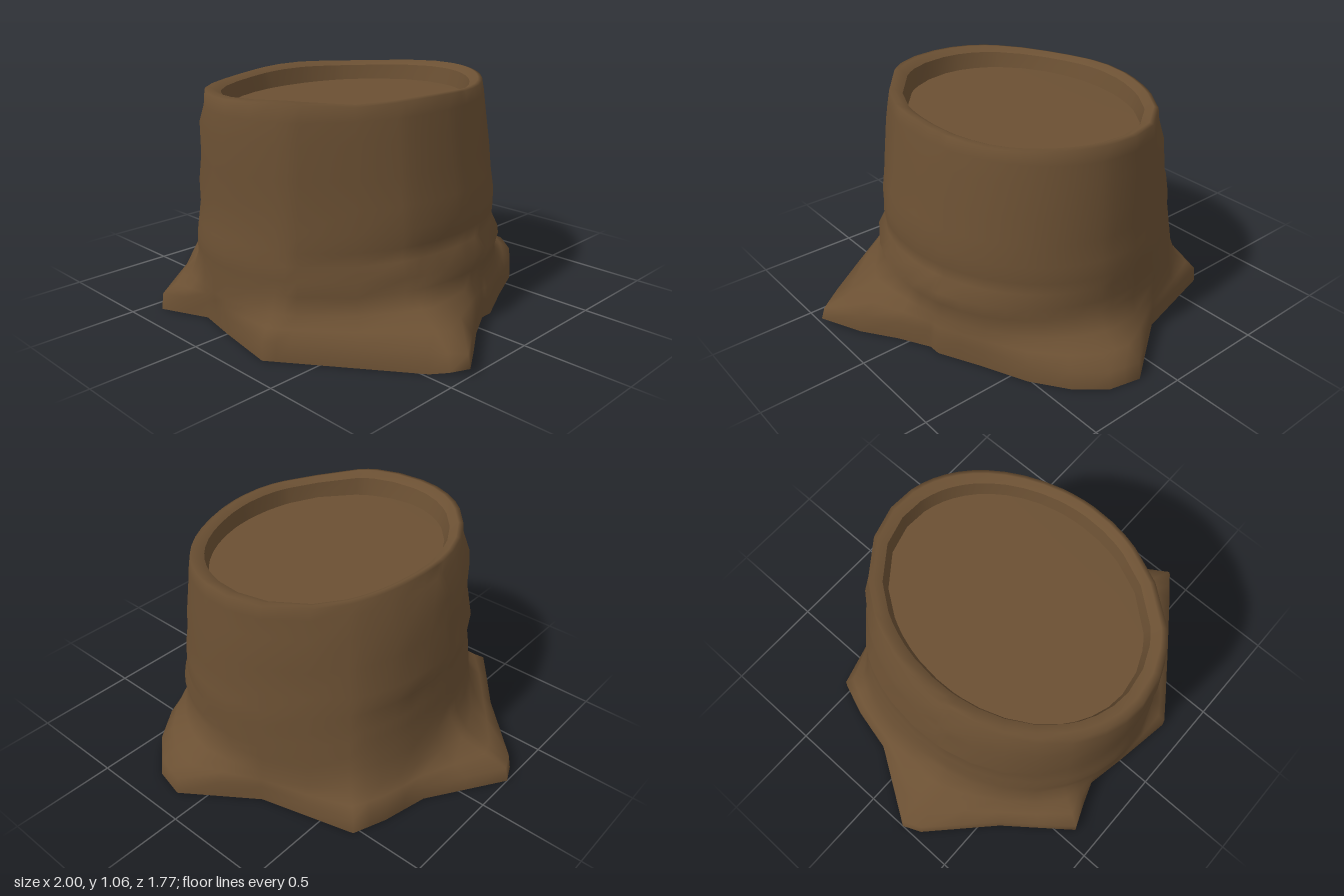
import * as THREE from 'three';

const bark = new THREE.MeshStandardMaterial({ color: 0x6b5033 });
const CZ = 0.07;

// Ground outline of the spreading roots [x, z], counter-clockwise seen from above
const ROOTS = [
  [-1, 0.21], [-0.96, 0.3], [-0.67, 0.58], [-0.43, 0.885], [-0.2, 0.79], [0, 0.83], [0.3, 0.88], [0.4, 0.81],
  [0.87, 0.48], [1, 0.38], [0.78, 0.05], [0.7, -0.1], [0.7, -0.16], [0.6, -0.37], [0.51, -0.58], [0.4, -0.74],
  [0.27, -0.85], [0.12, -0.885], [-0.21, -0.65], [-0.66, -0.53], [-0.72, -0.37], [-0.77, -0.15],
];

// Trunk sections: [y, left x, right x, back z, front z]
const TRUNK = [
  [0.25, -0.685, 0.69, -0.67, 0.825], [0.32, -0.67, 0.71, -0.68, 0.83], [0.38, -0.66, 0.66, -0.67, 0.83],
  [0.44, -0.655, 0.66, -0.68, 0.82], [0.52, -0.64, 0.665, -0.67, 0.81], [0.62, -0.655, 0.645, -0.66, 0.805],
  [0.74, -0.61, 0.625, -0.66, 0.805], [0.89, -0.61, 0.6, -0.645, 0.805], [0.98, -0.555, 0.583, -0.64, 0.795],
];

// Outline with the midpoint of every edge added
const outline = ROOTS.flatMap(([x, z], i) => {
  const [nx, nz] = ROOTS[(i + 1) % ROOTS.length];
  return [[x, z], [(x + nx) / 2, (z + nz) / 2]];
});
const angles = outline.map(([x, z]) => Math.atan2(z - CZ, x));

// Point of a lopsided oval at an angle, swelling low down at the back right
function oval([y, x0, x1, z0, z1], a) {
  const c = Math.cos(a), s = Math.sin(a);
  const rx = c < 0 ? -x0 : x1, rz = s < 0 ? CZ - z0 : z1 - CZ;
  const swell = 0.06 * Math.max(0, 1 - y / 0.85) * Math.exp(-(((a + 2.45) / 0.4) ** 2));
  const r = 1 / Math.hypot(c / rx, s / rz) + swell;
  return [r * c, y, CZ + r * s];
}

// Uneven height of the sawn edge, highest at the front left
const rimWave = (a) => 0.022 * Math.exp(-(((a - 1.15) / 0.3) ** 2)) + 0.007 * Math.sin(4 * a + 1);

const trunkRing = (section) => angles.map((a) => oval(section, a));
const rimRing = (section, wave) => angles.map((a) => {
  const p = oval(section, a);
  p[1] += rimWave(a) * wave;
  return p;
});

// Root ring: t blends from the ground outline to the trunk, roots on the left run higher
function rootRing(y, t) {
  return outline.map(([x, z], i) => {
    const p = oval([y, -0.69, 0.69, -0.67, 0.83], angles[i]);
    return [x + (p[0] - x) * t, y * (1 + 0.12 * x), z + (p[2] - z) * t];
  });
}

// Skin over closed rings, optionally ending in a centre point
function skin(name, rings, centre) {
  const n = angles.length, index = [];
  const points = rings.flat();
  for (let r = 0; r < rings.length - 1; r++) {
    for (let i = 0; i < n; i++) {
      const j = (i + 1) % n, a = r * n + i, b = r * n + j;
      index.push(a, b, b + n, a, b + n, a + n);
    }
  }
  if (centre) {
    const base = (rings.length - 1) * n;
    for (let i = 0; i < n; i++) index.push(base + i, base + ((i + 1) % n), points.length);
    points.push(centre);
  }
  const geometry = new THREE.BufferGeometry();
  geometry.setAttribute('position', new THREE.Float32BufferAttribute(points.flat(), 3));
  geometry.setIndex(index);
  geometry.computeVertexNormals();
  const mesh = new THREE.Mesh(geometry, bark);
  mesh.name = name;
  return mesh;
}

export function createModel() {
  const group = new THREE.Group();
  group.name = 'treeStump';

  // Ground edge, with the tip of the left root lifted clear
  const ground = rootRing(0, 0).map(([x, y, z]) => [x, Math.max(0, x - 0.9) * 0.35, z]);
  const innerEdge = rimRing([1.025, -0.495, 0.515, -0.565, 0.71], 0.7);

  // Roots, trunk and rounded rim as one continuous bark surface
  group.add(skin('bark', [
    ground,
    rootRing(0.082, 0.05),
    rootRing(0.125, 0.4),
    rootRing(0.168, 0.8),
    ...TRUNK.map(trunkRing),
    rimRing([1.04, -0.55, 0.57, -0.632, 0.788], 1),
    rimRing([1.046, -0.53, 0.55, -0.61, 0.755], 1),
    innerEdge,
  ]));

  // Sunken sawn face
  const faceEdge = trunkRing([0.95, -0.475, 0.5, -0.55, 0.69]);
  group.add(skin('rimInside', [innerEdge, faceEdge]));
  group.add(skin('sawnFace', [faceEdge], [0, 0.955, CZ]));

  // Flat underside, wound to face down
  const underside = skin('underside', [ground], [0, 0, CZ]);
  underside.geometry.index.array.reverse();
  underside.geometry.computeVertexNormals();
  group.add(underside);

  return group;
}
